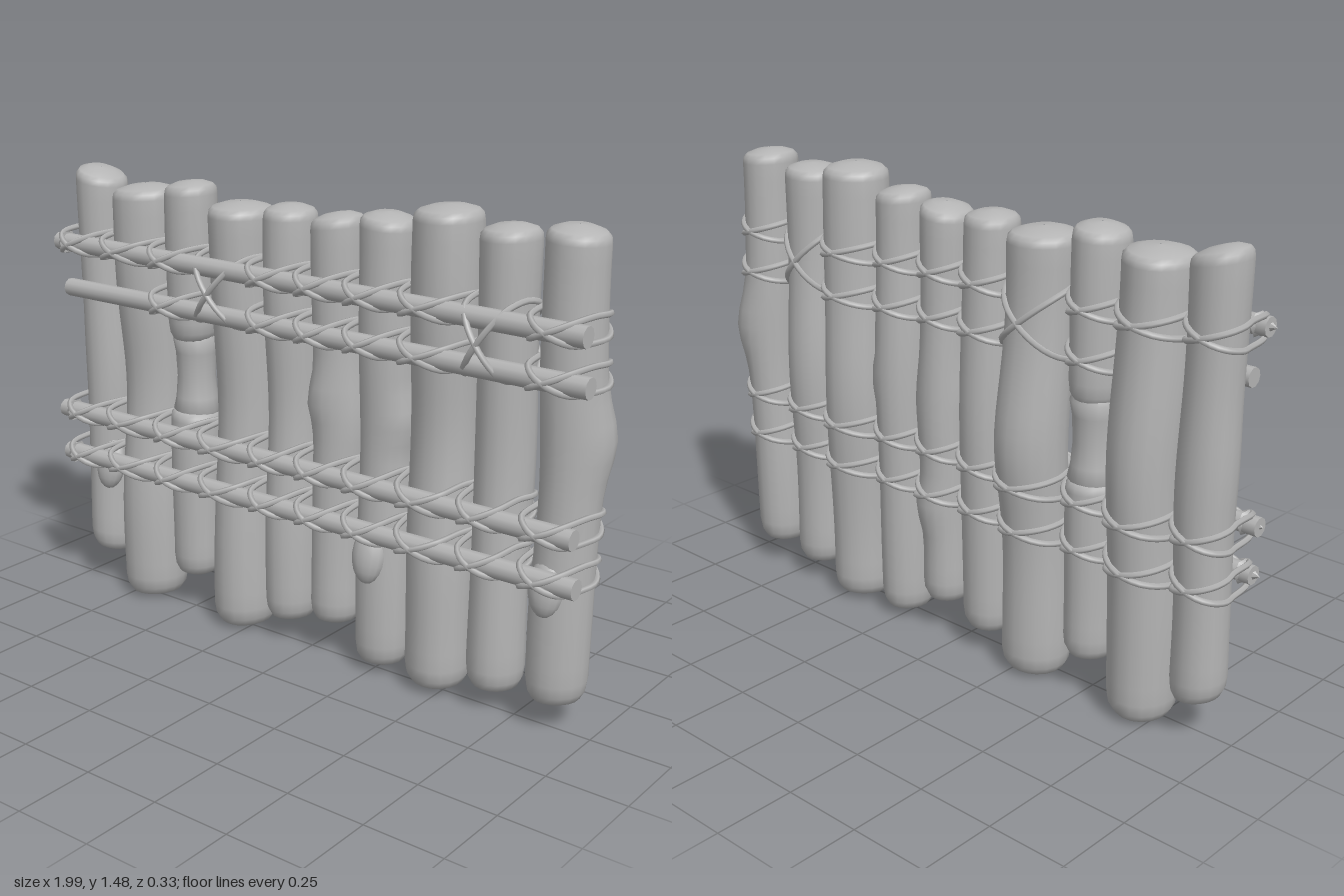
import * as THREE from 'three';

const wood = new THREE.MeshStandardMaterial({ color: 0xb4b4b4 });
wood.name = 'grey wood';

// Logs: centre x, radius, bottom, top, end tilts along x, sideways and backward bow at mid height,
// bumps as [angle (0 = front, PI/2 = left), height, size, spread]
const H = Math.PI / 2;
const LOGS = [
  { x: -0.892, r: 0.08, y0: 0.13, y1: 1.46, tb: -0.2, tt: -0.28, bow: [0.01, -0.005], bumps: [[-H, 0.85, 0.1, 0.15]] },
  { x: -0.695, r: 0.104, y0: 0.01, y1: 1.425, tb: 0.05, tt: 0.05, bow: [0.005, -0.03], bumps: [] },
  { x: -0.5, r: 0.081, y0: 0.13, y1: 0.72, tb: 0.04, tt: -0.05, bow: [0, -0.005], bumps: [] },
  { x: -0.5, r: 0.081, y0: 0.93, y1: 1.455, tb: 0.05, tt: 0.08, bow: [0, -0.005], bumps: [] },
  { x: -0.295, r: 0.102, y0: 0.01, y1: 1.41, tb: 0.02, tt: 0, bow: [0.005, -0.03], bumps: [[Math.PI, 0.75, 0.1, 0.15]] },
  { x: -0.1, r: 0.083, y0: 0.08, y1: 1.425, tb: 0.03, tt: 0, bow: [0, -0.02], bumps: [] },
  { x: 0.08, r: 0.079, y0: 0.12, y1: 1.42, tb: 0, tt: 0.16, bow: [0.005, -0.01], bumps: [[-0.7, 0.85, 0.25, 0.07], [H, 0.8, 0.15, 0.12], [2.6, 0.45, 0.25, 0.07]] },
  { x: 0.262, r: 0.084, y0: 0.03, y1: 1.44, tb: 0.02, tt: -0.1, bow: [0, -0.015], bumps: [[H, 0.83, 0.25, 0.05]] },
  { x: 0.465, r: 0.1, y0: 0.02, y1: 1.485, tb: 0, tt: 0.03, bow: [-0.01, -0.025], bumps: [] },
  { x: 0.665, r: 0.084, y0: 0.07, y1: 1.455, tb: -0.06, tt: 0.05, bow: [-0.005, -0.02], bumps: [] },
  { x: 0.872, r: 0.088, y0: 0.09, y1: 1.475, tb: 0.04, tt: -0.08, bow: [0.01, -0.01], bumps: [[2.2, 0.88, 0.35, 0.11]] },
];

// Point on a log's bark at height y and angle a; k scales the ring, extra lifts off the bark
function bark(log, y, a, k = 1, extra = 0) {
  const bow = Math.exp(-(((y - 0.78) / 0.28) ** 2));
  let s = 1 + 0.02 * Math.sin(3 * a + log.x * 40) + 0.02 * Math.sin(y * 9 + log.x * 20);
  for (const [dir, by, size, spread] of log.bumps) {
    s += size * Math.max(0, Math.cos(a - dir)) ** 2 * Math.exp(-(((y - by) / spread) ** 2));
  }
  const r = log.r * s * k + extra;
  return new THREE.Vector3(
    log.x + log.bow[0] * bow + Math.sin(a) * r,
    y,
    -0.022 + log.bow[1] * bow + Math.cos(a) * r * 1.07
  );
}

// Log skin from stacked rings with rounded ends
function logGeometry(log) {
  const SIDES = 18;
  const { y0, y1 } = log;
  const rings = [[y0, 0.02], [y0 + 0.004, 0.55], [y0 + 0.015, 0.8], [y0 + 0.04, 0.95]];
  const n = Math.max(6, Math.round((y1 - y0) / 0.06));
  for (let i = 0; i <= n; i++) rings.push([y0 + 0.075 + (y1 - y0 - 0.12) * i / n, 1]);
  rings.push([y1 - 0.027, 0.97], [y1 - 0.015, 0.85], [y1 - 0.004, 0.5], [y1, 0.02]);

  const pos = [], idx = [];
  rings.forEach(([y, k], i) => {
    for (let j = 0; j < SIDES; j++) {
      const p = bark(log, y, (j / SIDES) * Math.PI * 2, k);
      const dx = p.x - log.x;
      const low = Math.max(0, 1 - (y - y0) / 0.15), high = Math.max(0, 1 - (y1 - y) / 0.15);
      p.y += dx * (log.tb * low + log.tt * high);
      pos.push(p.x, p.y, p.z);
      if (i === rings.length - 1) continue;
      const a = i * SIDES + j, b = i * SIDES + (j + 1) % SIDES;
      idx.push(a, b, b + SIDES, a, b + SIDES, a + SIDES);
    }
  });
  const g = new THREE.BufferGeometry();
  g.setAttribute('position', new THREE.Float32BufferAttribute(pos, 3));
  g.setIndex(idx);
  g.computeVertexNormals();
  return g;
}

// One rope loop: crosses the rail diagonally in front, then runs round the back of the log
function ropeGeometry(log, y, h, side) {
  const r = log.r, pts = [];
  const front = (u, v, z) => pts.push(new THREE.Vector3(log.x + u * r, y + side * v * h, z));
  front(-0.75, -0.85, 0.105);
  front(-0.4, -0.45, 0.137);
  front(0, 0, 0.146);
  front(0.4, 0.45, 0.137);
  front(0.75, 0.85, 0.105);
  for (let i = 0; i <= 8; i++) {
    const t = i / 8;
    const a = 1.15 + t * (Math.PI * 2 - 2.3);
    pts.push(bark(log, y + side * h * Math.cos(t * Math.PI), a, 1, 0.004));
  }
  return new THREE.TubeGeometry(new THREE.CatmullRomCurve3(pts, true), 36, 0.0095, 5, true);
}

export function createModel() {
  const model = new THREE.Group();
  const add = (name, geometry, parent = model) => {
    const m = new THREE.Mesh(geometry, wood);
    m.name = name;
    parent.add(m);
    return m;
  };

  // Upright logs
  const logs = new THREE.Group();
  logs.name = 'logs';
  model.add(logs);
  LOGS.forEach((log) => add('log', logGeometry(log), logs));

  // Worn neck joining the two halves of the broken log
  const neck = [[0.05, 0.66], [0.077, 0.71], [0.068, 0.75], [0.062, 0.82], [0.066, 0.9], [0.074, 0.945], [0.05, 0.98]];
  const neckMesh = add('wornNeck', new THREE.LatheGeometry(neck.map(([x, y]) => new THREE.Vector2(x, y)), 16), logs);
  neckMesh.position.set(-0.5, 0, -0.03);

  // Cut branch stubs
  for (const [x, y, z] of [[-0.845, 0.46, 0.035], [0.255, 0.405, 0.05], [0.865, 0.465, 0.05]]) {
    const stub = add('branchStub', new THREE.SphereGeometry(1, 14, 10), logs);
    stub.scale.set(0.055, 0.09, 0.042);
    stub.position.set(x, y, z);
    stub.rotation.x = -0.2;
  }

  // Cross rails: left-hand x and y, right-hand x and y
  const RAILS = [
    [-0.97, 1.225, 0.98, 1.21],
    [-0.93, 1.075, 0.995, 1.075],
    [-0.98, 0.65, 0.97, 0.645],
    [-0.97, 0.5, 0.985, 0.505],
  ];
  const rails = new THREE.Group();
  rails.name = 'rails';
  model.add(rails);
  RAILS.forEach(([xa, ya, xb, yb]) => {
    const len = Math.hypot(xb - xa, yb - ya);
    const rail = add('rail', new THREE.CylinderGeometry(0.031, 0.029, len, 10, 8), rails);
    rail.position.set((xa + xb) / 2, (ya + yb) / 2, 0.103);
    rail.rotation.z = Math.atan2(yb - ya, xb - xa) - H;
  });

  // Rope lashings: crossed loops at each log, with two tall crosses tying the upper rails
  const ropes = new THREE.Group();
  ropes.name = 'ropeLashings';
  model.add(ropes);
  const lash = (log, y, h) => [1, -1].forEach((s) => add('rope', ropeGeometry(log, y, h, s), ropes));
  const tall = [4, 9], bareSecond = [0, 1];
  LOGS.forEach((log, i) => {
    RAILS.forEach(([xa, ya, xb, yb], k) => {
      const y = ya + (yb - ya) * (log.x - xa) / (xb - xa);
      if (y < log.y0 || y > log.y1) return;
      if (k < 2 && tall.includes(i)) return;
      if (k === 1 && bareSecond.includes(i)) return;
      lash(log, y, 0.036);
    });
    if (tall.includes(i)) lash(log, 1.145, 0.11);
  });

  // Pointed rope knots on the rail ends beside the first log
  for (const k of [0, 2, 3]) {
    const knot = add('endKnot', new THREE.ConeGeometry(0.038, 0.06, 6), ropes);
    knot.position.set(-0.96, RAILS[k][1], 0.105);
    knot.rotation.z = H;
  }
  return model;
}
